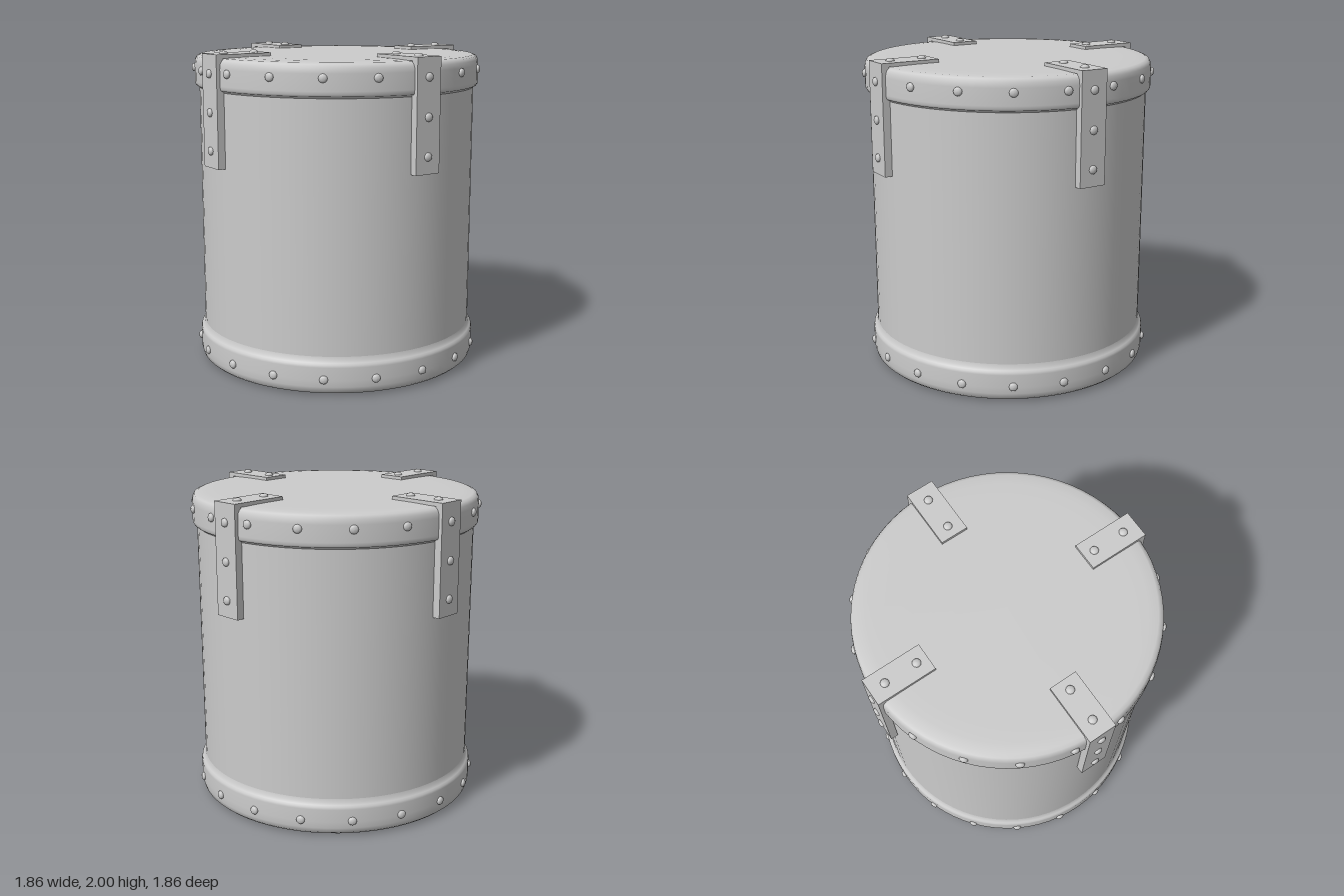
import * as THREE from 'three';

const material = new THREE.MeshStandardMaterial({ color: 0xcccccc });

function add(parent, name, geometry, x = 0, y = 0, z = 0) {
  const mesh = new THREE.Mesh(geometry, material);
  mesh.name = name;
  mesh.position.set(x, y, z);
  parent.add(mesh);
  return mesh;
}

function lathe(points, segments = 72) {
  return new THREE.LatheGeometry(points.map(([r, y]) => new THREE.Vector2(r, y)), segments);
}

// Small domed stud standing on y = 0
const rivetGeometry = lathe([[0.026, -0.01], [0.026, 0.008], [0.022, 0.014], [0.013, 0.019], [0, 0.02]], 12);

export function createModel() {
  const model = new THREE.Group();
  model.name = 'barrel';

  // Straight drum wall
  add(model, 'body', new THREE.CylinderGeometry(0.87, 0.87, 1.7, 72, 1, true), 0, 1.0, 0);

  // Base cap with rounded rim, easing into the wall
  add(model, 'baseCap', lathe([
    [0, 0.003], [0.72, 0.003], [0.82, 0.006], [0.87, 0.014], [0.888, 0.03], [0.896, 0.06],
    [0.897, 0.1], [0.897, 0.18], [0.894, 0.195], [0.885, 0.205], [0.875, 0.218], [0.87, 0.24],
  ]));

  // Lid with rounded rim
  add(model, 'lid', lathe([
    [0.868, 1.755], [0.875, 1.767], [0.889, 1.771], [0.896, 1.782], [0.897, 1.8], [0.897, 1.9],
    [0.893, 1.93], [0.882, 1.95], [0.86, 1.959], [0.8, 1.963], [0.7, 1.965], [0, 1.965],
  ]));

  // Rings of rivets on both rims
  for (const [name, y] of [['baseRivet', 0.107], ['lidRivet', 1.875]]) {
    for (let i = 0; i < 18; i++) {
      const a = (i / 18) * Math.PI * 2;
      const rivet = add(model, name, rivetGeometry, Math.sin(a) * 0.895, y, Math.cos(a) * 0.895);
      rivet.rotation.set(Math.PI / 2, a, 0, 'YXZ');
    }
  }

  // L-shaped strap profile (radius, height), extruded across its width
  const profile = new THREE.Shape(
    [[0.54, 1.962], [0.868, 1.962], [0.868, 1.307], [0.915, 1.307], [0.915, 1.985], [0.54, 1.985]]
      .map(([r, y]) => new THREE.Vector2(r, y)));
  const strapGeometry = new THREE.ExtrudeGeometry(profile, { depth: 0.174, bevelEnabled: false });
  strapGeometry.translate(0, 0, -0.087);

  // Four straps hooked over the lid, each with five rivets
  for (let i = 0; i < 4; i++) {
    const strap = new THREE.Group();
    strap.name = 'strap';
    strap.rotation.y = (i * Math.PI) / 2;
    add(strap, 'strapPlate', strapGeometry);
    for (const r of [0.61, 0.818]) add(strap, 'strapTopRivet', rivetGeometry, r, 1.981, 0);
    for (const y of [1.87, 1.64, 1.41]) {
      add(strap, 'strapSideRivet', rivetGeometry, 0.912, y, 0).rotation.z = -Math.PI / 2;
    }
    model.add(strap);
  }
  return model;
}
